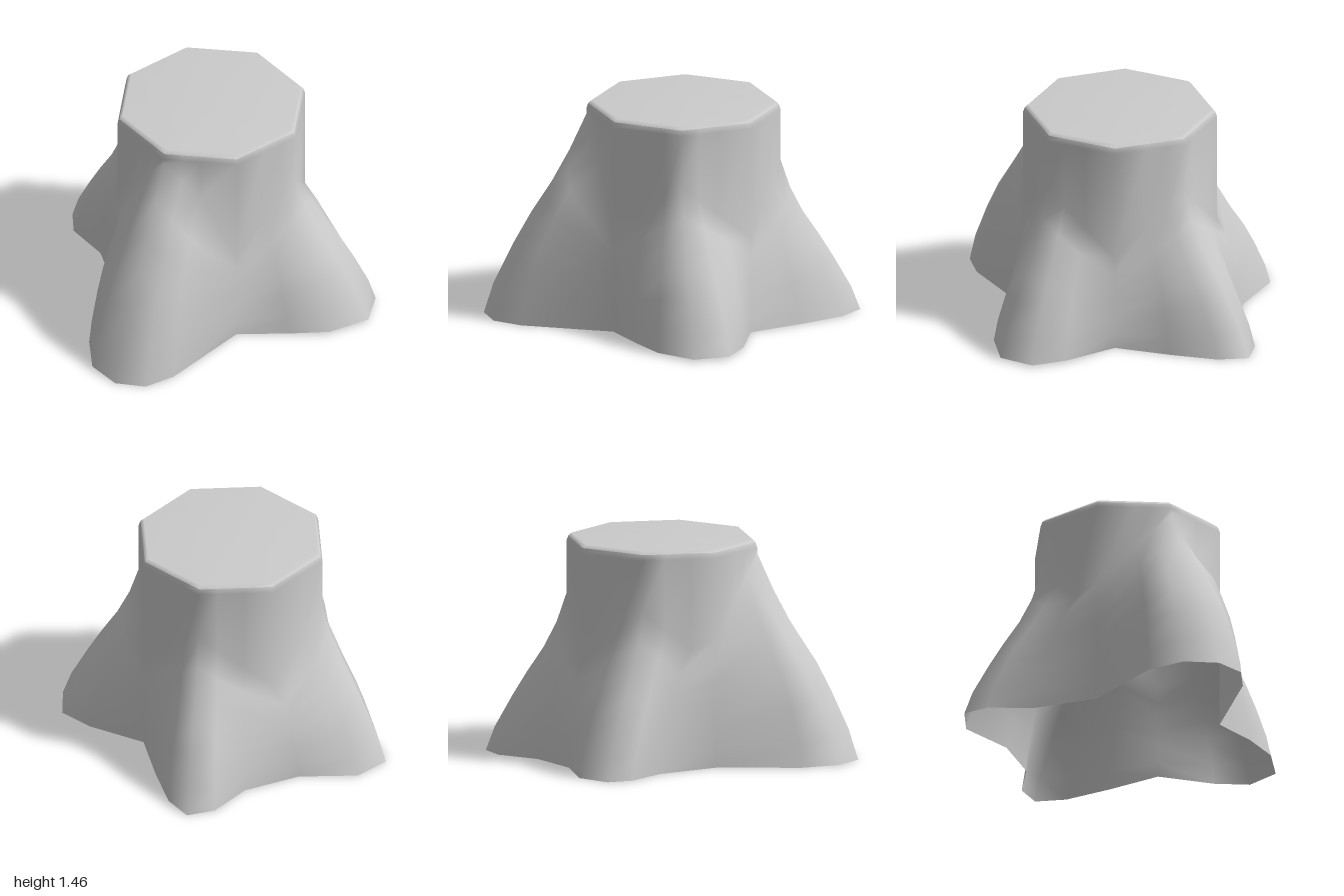
import * as THREE from 'three';

// Centre and radius of the eight-sided trunk
const CX = 0.013, CZ = -0.035, R = 0.64;

// Ground outline: x, z and the matching place u on the trunk's perimeter
// (0 = front corner, counted towards +x; odd corners carry the roots)
const HEM = [
  [0.01, 0.605, 0], [0.33, 0.71, 0.45], [0.60, 0.765, 0.75], [0.88, 0.705, 1],
  [0.99, 0.49, 1.25], [0.90, 0.27, 1.55], [0.65, -0.035, 2], [0.74, -0.40, 2.45],
  [0.80, -0.72, 2.75], [0.765, -0.925, 3], [0.575, -0.955, 3.25], [0.295, -0.83, 3.6],
  [-0.09, -0.84, 4], [-0.45, -1.0, 4.6], [-0.685, -0.935, 5], [-0.725, -0.76, 5.3],
  [-0.62, -0.48, 5.65], [-0.63, -0.035, 6], [-0.95, 0.43, 6.5], [-1.0, 0.69, 6.75],
  [-0.905, 0.905, 7], [-0.72, 0.995, 7.25], [-0.515, 0.94, 7.5],
];

// Height share along a root and how far it still spreads there
const FLARE = [[0, 1], [0.15, 0.89], [0.35, 0.67], [0.5, 0.49], [0.66, 0.28], [0.82, 0.12], [1, 0]];
// Upper trunk and rounded rim: height, radius factor
const RIM = [[1.4, 1], [1.435, 0.98]];
const CAP = [[1.435, 0.98], [1.456, 0.945]];

// Point on the straight-sided trunk outline
function trunkPoint(u, scale = 1) {
  const corner = (k) => [Math.sin(k * Math.PI / 4), Math.cos(k * Math.PI / 4)];
  const k = Math.floor(u), t = u - k, a = corner(k), b = corner(k + 1);
  return [
    CX + R * scale * (a[0] + (b[0] - a[0]) * t),
    CZ + R * scale * (a[1] + (b[1] - a[1]) * t),
  ];
}

// Skin closed rings, bottom to top, with an optional centre point on top
function skin(rings, centre) {
  const n = rings[0].length, pos = rings.flat(2), index = [];
  for (let j = 0; j < rings.length - 1; j++) {
    for (let i = 0; i < n; i++) {
      const a = j * n + i, b = j * n + (i + 1) % n;
      index.push(a, b, b + n, a, b + n, a + n);
    }
  }
  if (centre) {
    const base = (rings.length - 1) * n, c = pos.length / 3;
    pos.push(...centre);
    for (let i = 0; i < n; i++) index.push(base + i, base + (i + 1) % n, c);
  }
  const g = new THREE.BufferGeometry();
  g.setAttribute('position', new THREE.Float32BufferAttribute(pos, 3));
  g.setIndex(index);
  g.computeVertexNormals();
  return g;
}

export function createModel() {
  const group = new THREE.Group();
  group.name = 'treeStump';
  const material = new THREE.MeshStandardMaterial({ color: 0xcccccc, side: THREE.DoubleSide });

  // Trunk wall flaring into four roots, open underneath; root flanks join
  // the trunk lower and stand steeper than the ridges
  const rings = FLARE.map(([s, f]) => HEM.map(([x, z, u]) => {
    const [qx, qz] = trunkPoint(u);
    const ridge = 2 * Math.floor(u / 2) + 1, d = Math.abs(u - ridge);
    const tall = ridge === 7;
    const reach = (tall ? 1.36 : 1.05) * (1 - 0.38 * d);
    const spread = f ** Math.max(0.45, (tall ? 0.85 : 1) - 0.8 * d);
    const ground = u > 0 && u < 2 ? 0.014 : 0;
    return [qx + (x - qx) * spread, ground + (reach - ground) * s, qz + (z - qz) * spread];
  }));
  const level = ([y, scale]) => HEM.map(([, , u]) => {
    const [x, z] = trunkPoint(u, scale);
    return [x, y, z];
  });
  rings.push(...RIM.map(level));
  const trunk = new THREE.Mesh(skin(rings), material);
  trunk.name = 'trunkAndRoots';

  // Flat cut face with a slight bevel
  const cap = new THREE.Mesh(skin(CAP.map(level), [CX, 1.456, CZ]), material);
  cap.name = 'cutTop';

  group.add(trunk, cap);
  return group;
}
